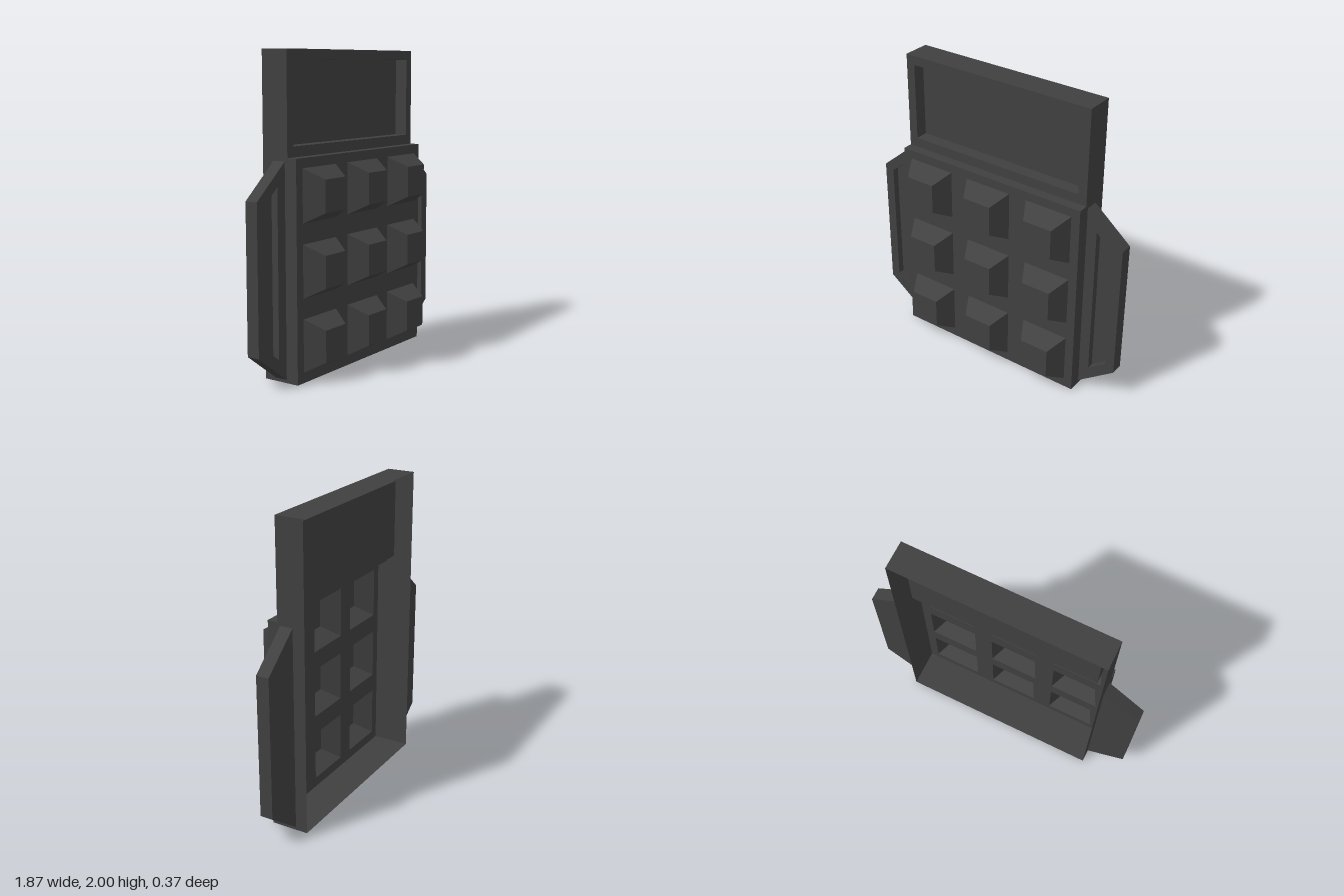
import * as THREE from 'three';

const material = new THREE.MeshStandardMaterial({ color: 0x404040, flatShading: true, side: THREE.DoubleSide });

// Rectangle outline, counter-clockwise seen from the front
const rect = (x0, x1, y0, y1) => [[x0, y0], [x1, y0], [x1, y1], [x0, y1]];
const square = (cx, cy, h) => rect(cx - h, cx + h, cy - h, cy + h);
const toVectors = (pts) => pts.map(([x, y]) => new THREE.Vector2(x, y));

function addMesh(parent, geometry, name) {
  const mesh = new THREE.Mesh(geometry, material);
  mesh.name = name;
  parent.add(mesh);
}

// Flat sheet at depth z, with optional holes
function addPlate(parent, name, outline, z, holes = []) {
  const shape = new THREE.Shape(toVectors(outline));
  holes.forEach((h) => shape.holes.push(new THREE.Path(toVectors(h))));
  addMesh(parent, new THREE.ShapeGeometry(shape).translate(0, 0, z), name);
}

// Band of walls joining outline a at depth za to outline b at depth zb
function addWalls(parent, name, a, za, b, zb) {
  const pos = [];
  a.forEach((p, i) => {
    const j = (i + 1) % a.length;
    const [p0, p1, q0, q1] = [[...p, za], [...a[j], za], [...b[i], zb], [...b[j], zb]];
    pos.push(...p0, ...p1, ...q1, ...p0, ...q1, ...q0);
  });
  const geometry = new THREE.BufferGeometry();
  geometry.setAttribute('position', new THREE.Float32BufferAttribute(pos, 3));
  geometry.computeVertexNormals();
  addMesh(parent, geometry, name);
}

export function createModel() {
  const model = new THREE.Group();
  const W = 0.68, SPLIT = 1.365, BACK = -0.185, FRONT = 0.065;

  // Thin housing, open at the back, with a raised lower front
  const housing = new THREE.Group();
  housing.name = 'housing';
  model.add(housing);
  const full = rect(-W, W, 0, 2);
  const lower = rect(-W, W, 0, SPLIT);
  const screen = rect(-0.62, 0.62, 1.43, 1.94);
  addWalls(housing, 'outerWalls', full, BACK, full, 0);
  addWalls(housing, 'raisedWalls', lower, 0, lower, FRONT);
  addPlate(housing, 'screenFrame', rect(-W, W, SPLIT, 2), 0, [screen]);

  // Screen sunk into the upper frame
  addWalls(housing, 'screenRim', screen, 0, screen, -0.085);
  addPlate(housing, 'screen', screen, -0.085);

  // Nine hollow tapered buttons, open towards the inside of the housing
  const buttonBases = [];
  const buttons = new THREE.Group();
  buttons.name = 'buttons';
  model.add(buttons);
  for (let row = 0; row < 3; row++) {
    for (let col = -1; col <= 1; col++) {
      const x = col * 0.455, y = 0.23 + row * 0.455;
      const base = square(x, y, 0.165), top = square(x, y, 0.1);
      buttonBases.push(base);
      addWalls(buttons, 'buttonSides', base, FRONT, top, 0.185);
      addPlate(buttons, 'buttonTop', top, 0.185);
    }
  }
  addPlate(housing, 'buttonPlate', lower, FRONT, buttonBases);

  // Side grips with a recess in the front
  const gripOutline = [[W, 0.02], [0.935, 0.21], [0.935, 1.13], [W, 1.345]];
  const gripRecess = [[0.75, 0.16], [0.87, 0.25], [0.87, 1.1], [0.75, 1.2]];
  for (const side of [1, -1]) {
    const mirror = (pts) => (side > 0 ? pts : pts.map(([x, y]) => [-x, y]).reverse());
    const grip = new THREE.Group();
    grip.name = side > 0 ? 'leftGrip' : 'rightGrip';
    model.add(grip);
    const outer = mirror(gripOutline), inner = mirror(gripRecess);
    addWalls(grip, 'gripEdge', outer, -0.105, outer, -0.02);
    addPlate(grip, 'gripFront', outer, -0.02, [inner]);
    addPlate(grip, 'gripBack', outer, -0.105);
    addWalls(grip, 'gripRecessWalls', inner, -0.02, inner, -0.065);
    addPlate(grip, 'gripRecessFloor', inner, -0.065);
  }
  return model;
}
